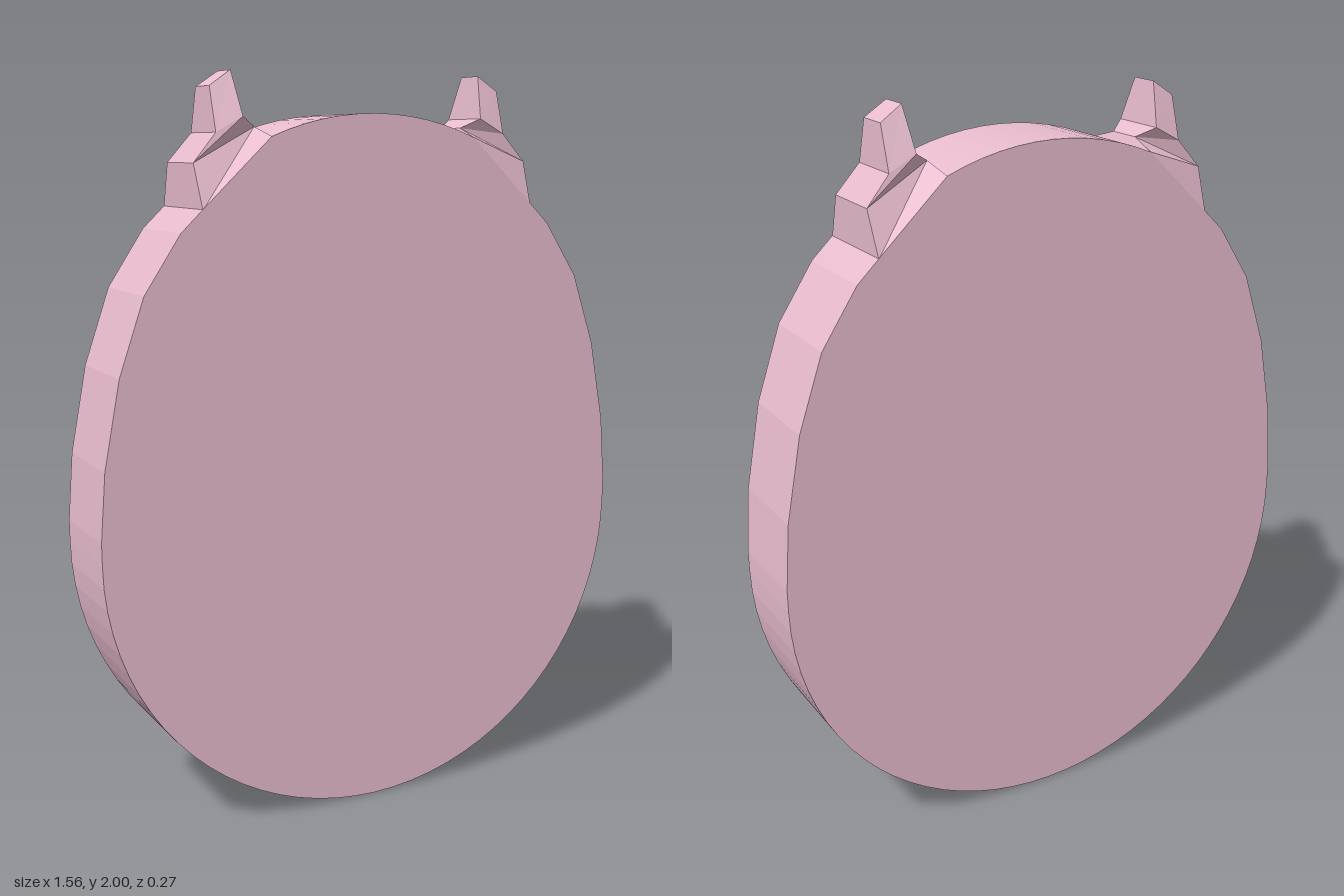
import * as THREE from 'three';

const DEPTH = 0.27;

export function createModel() {
  const model = new THREE.Group();
  const pink = new THREE.MeshStandardMaterial({ color: 0xe8bccd, flatShading: true });

  // Egg-shaped slab: round bottom, faceted shoulders, shallow arc on top
  const side = [[0.78, 0.84], [0.765, 1.02], [0.72, 1.25], [0.65, 1.45], [0.55, 1.6], [0.49, 1.657]];
  const outline = [];
  for (let i = 0; i <= 40; i++) {
    const a = Math.PI * (1 + i / 40);
    outline.push(new THREE.Vector2(0.78 * Math.cos(a), 0.78 + 0.78 * Math.sin(a)));
  }
  side.forEach(([x, y]) => outline.push(new THREE.Vector2(x, y)));
  for (let i = 0; i <= 12; i++) {
    const a = 0.395 * (1 - i / 6);
    outline.push(new THREE.Vector2(0.78 * Math.sin(a), 1.115 + 0.78 * Math.cos(a)));
  }
  [...side].reverse().forEach(([x, y]) => outline.push(new THREE.Vector2(-x, y)));
  const bodyGeometry = new THREE.ExtrudeGeometry(new THREE.Shape(outline), { depth: DEPTH, bevelEnabled: false });
  bodyGeometry.translate(0, 0, -DEPTH / 2);
  const body = new THREE.Mesh(bodyGeometry, pink);
  body.name = 'body';
  model.add(body);

  // Stepped horn: sections as outer x, y, half depth, then inner x, y, half depth
  const sections = [
    [0.49, 1.655, 0.135, 0.30, 1.835, 0.135],
    [0.495, 1.77, 0.09, 0.31, 1.86, 0.05],
    [0.43, 1.845, 0.083, 0.355, 1.885, 0.083],
    [0.43, 1.96, 0.046, 0.37, 2.0, 0.042],
  ];
  const positions = [];
  const index = [];
  sections.forEach(([ox, oy, od, ix, iy, id], s) => {
    positions.push(ox, oy, od, ox, oy, -od, ix, iy, -id, ix, iy, id);
    if (s === 0) return;
    for (let j = 0; j < 4; j++) {
      const a = (s - 1) * 4 + j;
      const b = (s - 1) * 4 + ((j + 1) % 4);
      index.push(a, b, b + 4, a, b + 4, a + 4);
    }
  });
  const top = (sections.length - 1) * 4;
  index.push(top, top + 1, top + 2, top, top + 2, top + 3);
  const indexed = new THREE.BufferGeometry();
  indexed.setAttribute('position', new THREE.Float32BufferAttribute(positions, 3));
  indexed.setIndex(index);
  const hornGeometry = indexed.toNonIndexed();
  hornGeometry.computeVertexNormals();

  // The horn is symmetric front to back, so a half turn makes its pair
  ['leftHorn', 'rightHorn'].forEach((name, i) => {
    const horn = new THREE.Mesh(hornGeometry, pink);
    horn.name = name;
    horn.rotation.y = i * Math.PI;
    model.add(horn);
  });

  return model;
}
